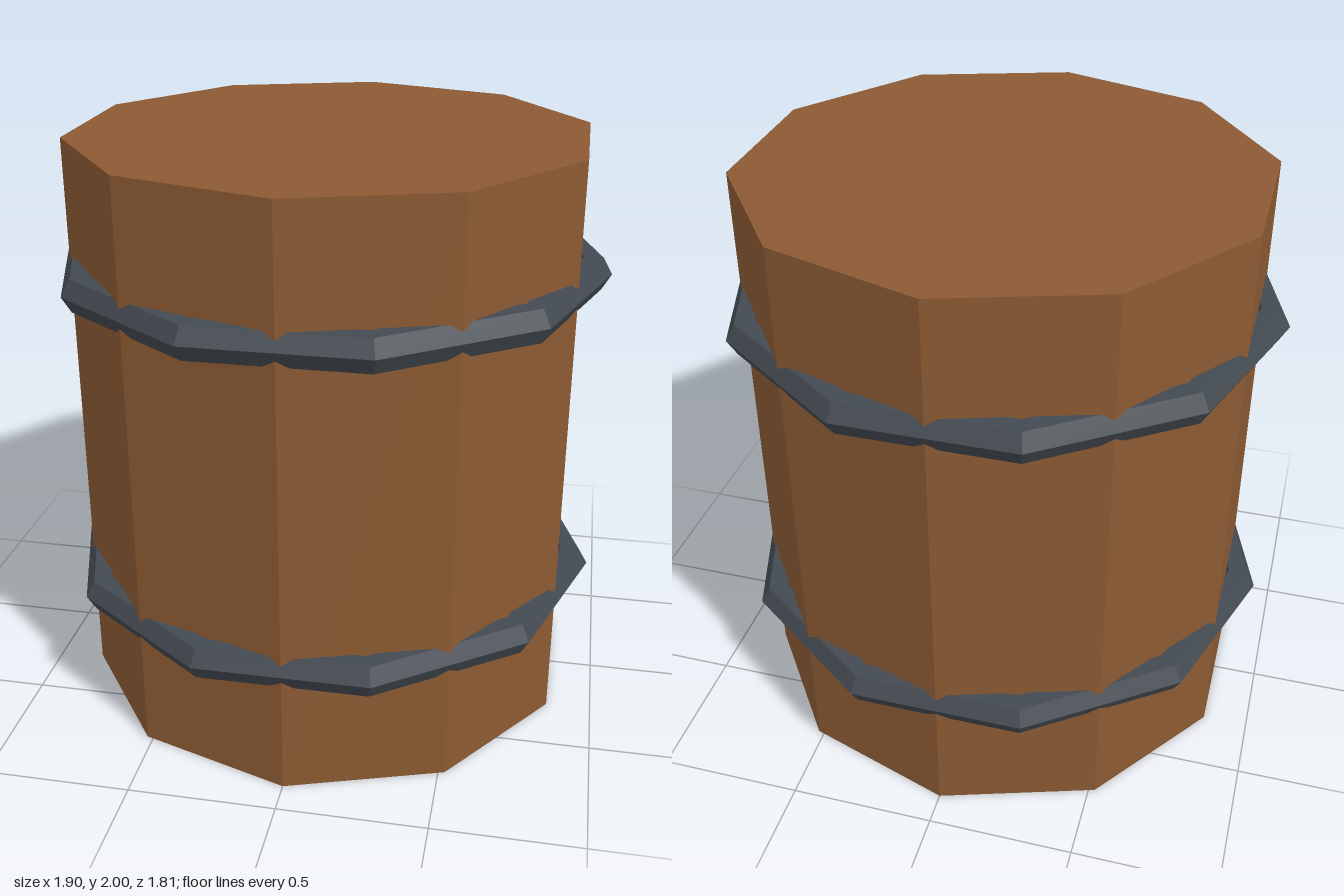
import * as THREE from 'three';

export function createModel() {
  const group = new THREE.Group();
  group.name = 'barrel';

  const wood = new THREE.MeshStandardMaterial({ color: 0x8b5a32, flatShading: true });
  wood.name = 'wood';
  const iron = new THREE.MeshStandardMaterial({ color: 0x434a51, flatShading: true });
  iron.name = 'iron';

  // Ten-sided wooden body with a corner facing front
  const body = new THREE.Mesh(new THREE.CylinderGeometry(0.888, 0.888, 2, 10), wood);
  body.name = 'body';
  body.position.y = 1;
  group.add(body);

  // Two hexagonal-section hoops, turned half a side from the body
  const hoopGeometry = new THREE.TorusGeometry(0.888, 0.064, 6, 10).rotateX(Math.PI / 2);
  for (const [name, y] of [['lowerHoop', 0.445], ['upperHoop', 1.555]]) {
    const hoop = new THREE.Mesh(hoopGeometry, iron);
    hoop.name = name;
    hoop.position.y = y;
    group.add(hoop);
  }

  return group;
}
